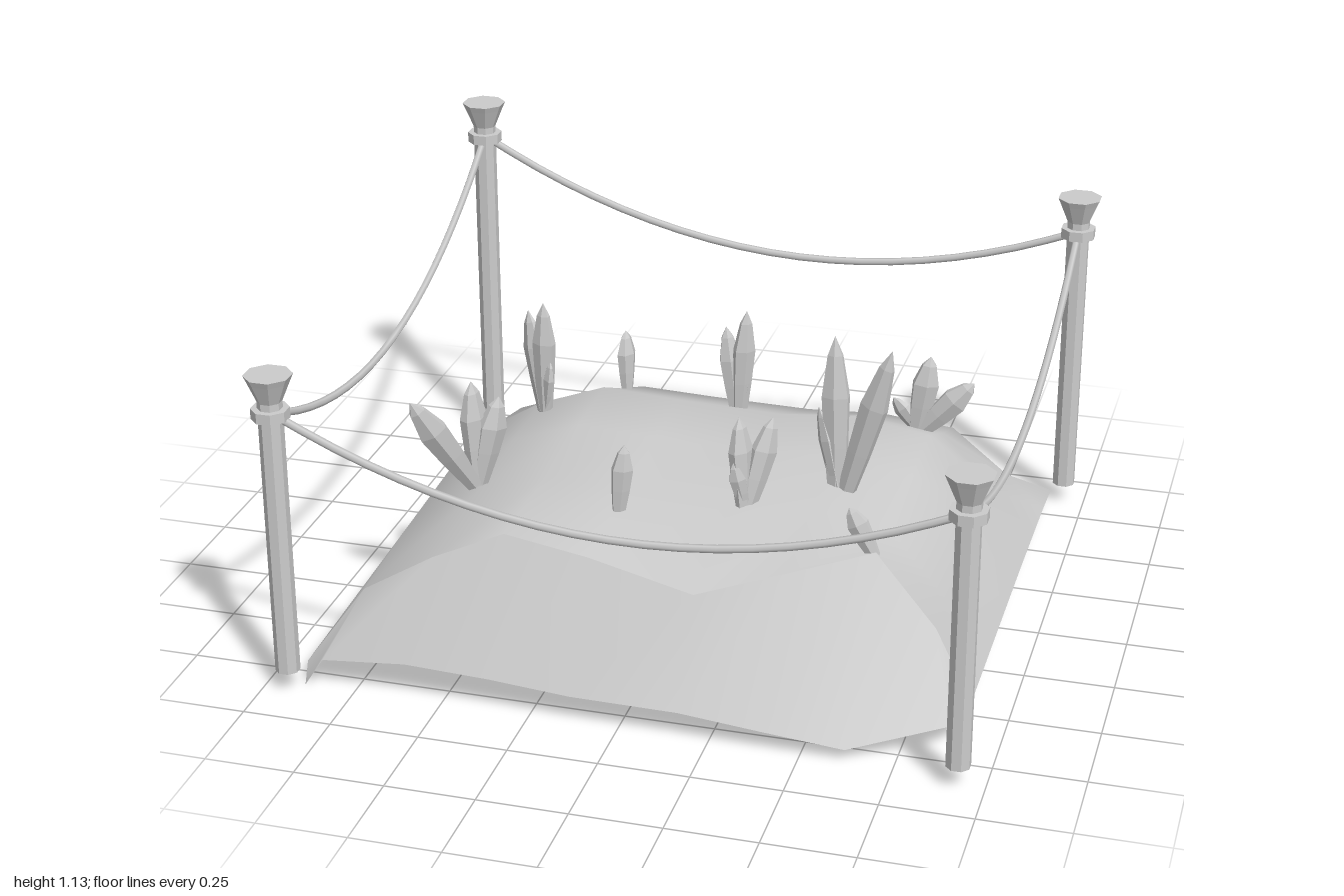
import * as THREE from 'three';

const smooth = new THREE.MeshStandardMaterial({ color: 0xcccccc, side: THREE.DoubleSide });
const faceted = new THREE.MeshStandardMaterial({ color: 0xcccccc, flatShading: true });

function add(group, name, geometry, material) {
  const mesh = new THREE.Mesh(geometry, material);
  mesh.name = name;
  group.add(mesh);
  return mesh;
}

// Skin over cross-sections, each { x, y, z } holding one value per column
function skin(rows) {
  const cols = rows[0].x.length, pos = [], index = [];
  rows.forEach((r, i) => {
    for (let j = 0; j < cols; j++) {
      pos.push(r.x[j], r.y[j], r.z[j]);
      if (i < rows.length - 1 && j < cols - 1) {
        const a = i * cols + j, b = a + cols;
        index.push(a, b, a + 1, b, b + 1, a + 1);
      }
    }
  });
  const g = new THREE.BufferGeometry();
  g.setAttribute('position', new THREE.Float32BufferAttribute(pos, 3));
  g.setIndex(index);
  g.computeVertexNormals();
  return g;
}

function buildMound(group) {
  const columns = [-0.91, -0.76, -0.56, -0.36, -0.13, 0.17, 0.4, 0.62, 0.79, 0.905];
  const rise = [0, 0.55, 0.83, 1, 0.97, 0.95, 1, 0.92, 0.42, 0.04];
  // Ground height is a side-to-side profile scaled by each row's height
  const row = (z, height) => ({
    x: columns.map((x, j) => (j ? x : x + 0.15 * Math.max(0, -z - 0.45))),
    y: rise.map((r) => 0.055 + r * height),
    z: columns.map(() => z),
  });
  const crease = {
    x: columns,
    y: [0.04, 0.25, 0.37, 0.46, 0.41, 0.355, 0.4, 0.445, 0.24, 0.07],
    z: [0.76, 0.69, 0.68, 0.665, 0.645, 0.675, 0.575, 0.48, 0.48, 0.55],
  };
  const rim = {
    x: [-0.895, -0.84, -0.6, -0.36, -0.13, 0.17, 0.4, 0.62, 0.87, 0.905],
    y: [0, 0.085, 0.11, 0.1, 0.085, 0.085, 0.06, 0.035, 0.07, 0.065],
    z: [0.82, 0.82, 0.825, 0.825, 0.83, 0.835, 0.83, 0.82, 0.69, 0.62],
  };
  // Ground rising from the back edge to the front crease
  add(group, 'moundTop', skin([
    row(-0.81, 0), row(-0.65, 0.27), row(-0.47, 0.34), row(-0.25, 0.44),
    row(0, 0.43), row(0.3, 0.405), crease,
  ]), smooth);
  // Steep front bank below the crease
  add(group, 'moundFront', skin([crease, rim]), smooth);
}

// Faceted shard from base to tip, wider along its yaw direction
const shardProfile = [[0, -0.12], [0.55, -0.1], [0.85, 0.3], [1, 0.62], [0.55, 0.88], [0, 1]]
  .map(([r, y]) => new THREE.Vector2(r, y));
function addShard(group, base, tip, width, yaw) {
  const dir = tip.clone().sub(base), length = dir.length();
  const g = new THREE.LatheGeometry(shardProfile, 6);
  g.scale(width / 2, length, width * 0.32).rotateY(yaw);
  const mesh = add(group, 'crystal', g, faceted);
  mesh.position.copy(base);
  mesh.quaternion.setFromUnitVectors(new THREE.Vector3(0, 1, 0), dir.normalize());
}

// Clusters: root x and z, shard width, yaw, and the tip of each main shard
const clusters = [
  { x: -0.36, z: -0.49, width: 0.08, yaw: 1.4, tips: [[-0.37, 0.57, -0.51]] },
  { x: 0.04, z: -0.3, width: 0.07, yaw: 0.3, tips: [[0, 0.71, -0.3], [0.065, 0.77, -0.29]] },
  { x: 0.55, z: -0.4, width: 0.085, yaw: 0, tips: [[0.72, 0.57, -0.4], [0.59, 0.64, -0.4]] },
  { x: -0.52, z: -0.18, width: 0.075, yaw: -0.5, tips: [[-0.58, 0.73, -0.22], [-0.52, 0.775, -0.18]] },
  { x: -0.56, z: 0.3, width: 0.09, yaw: 0.5, tips: [[-0.69, 0.72, 0.47], [-0.5, 0.68, 0.28], [-0.57, 0.73, 0.31]] },
  { x: 0.44, z: 0.15, width: 0.085, yaw: -0.3, tips: [[0.59, 0.9, 0.18], [0.42, 0.905, 0.13]] },
  { x: 0.21, z: 0.29, width: 0.08, yaw: 0.7, tips: [[0.275, 0.69, 0.23], [0.19, 0.7, 0.28]] },
  { x: -0.12, z: 0.4, width: 0.065, yaw: 0.5, tips: [[-0.1, 0.635, 0.4]] },
  { x: 0.62, z: 0.47, width: 0.065, yaw: 0, tips: [[0.54, 0.56, 0.46]] },
];

function buildCrystals(group) {
  for (const { x, z, width, yaw, tips } of clusters) {
    const root = new THREE.Vector3(x, 0.44 - 0.3 * Math.max(0, -z - 0.3), z);
    const mains = tips.map((t) => new THREE.Vector3(...t));
    mains.forEach((tip, i) => {
      const base = root.clone().lerp(tip, 0.15).setY(root.y);
      addShard(group, base, tip, width, yaw + i * 0.3);
    });
    // Small companion leaning away from the first shard
    if (mains.length > 1) {
      const lean = mains[0].clone().sub(root);
      const tip = root.clone().add(lean.multiply(new THREE.Vector3(-0.4, 0.55, -0.4)));
      addShard(group, root, tip, width * 0.65, yaw - 0.4);
    }
  }
}

// Post with collar and flared cap
function addPost(group, x, z, top) {
  const profile = [[0, 0.06], [0.034, 0.06], [0.034, top - 0.125], [0.052, top - 0.125],
    [0.052, top - 0.095], [0.034, top - 0.095], [0.034, top - 0.075],
    [0.058, top - 0.018], [0.066, top], [0, top]]
    .map(([r, y]) => new THREE.Vector2(r, y));
  const g = new THREE.LatheGeometry(profile, 8, Math.PI / 8);
  add(group, 'post', g, faceted).position.set(x, 0, z);
}

// Sagging rope between two post collars
function addRope(group, a, b, sag) {
  const at = ([x, z, top]) => new THREE.Vector3(x, top - 0.11, z);
  const start = at(a), end = at(b), points = [];
  for (let i = 0; i <= 12; i++) {
    const t = i / 12, p = start.clone().lerp(end, t);
    p.y -= sag * 4 * t * (1 - t);
    points.push(p);
  }
  const curve = new THREE.CatmullRomCurve3(points);
  add(group, 'rope', new THREE.TubeGeometry(curve, 20, 0.011, 6), smooth);
}

export function createModel() {
  const model = new THREE.Group();
  buildMound(model);

  const crystals = new THREE.Group();
  crystals.name = 'crystals';
  buildCrystals(crystals);
  model.add(crystals);

  // Posts in order around the mound: x, z, top height
  const fence = new THREE.Group();
  fence.name = 'ropeFence';
  const posts = [[-0.93, 0.85, 0.94], [0.927, 0.855, 0.895], [0.935, -0.865, 1.0], [-0.93, -0.865, 1.13]];
  const sags = [0.225, 0.21, 0.23, 0.245];
  posts.forEach((p, i) => {
    addPost(fence, ...p);
    addRope(fence, p, posts[(i + 1) % 4], sags[i]);
  });
  model.add(fence);
  return model;
}
